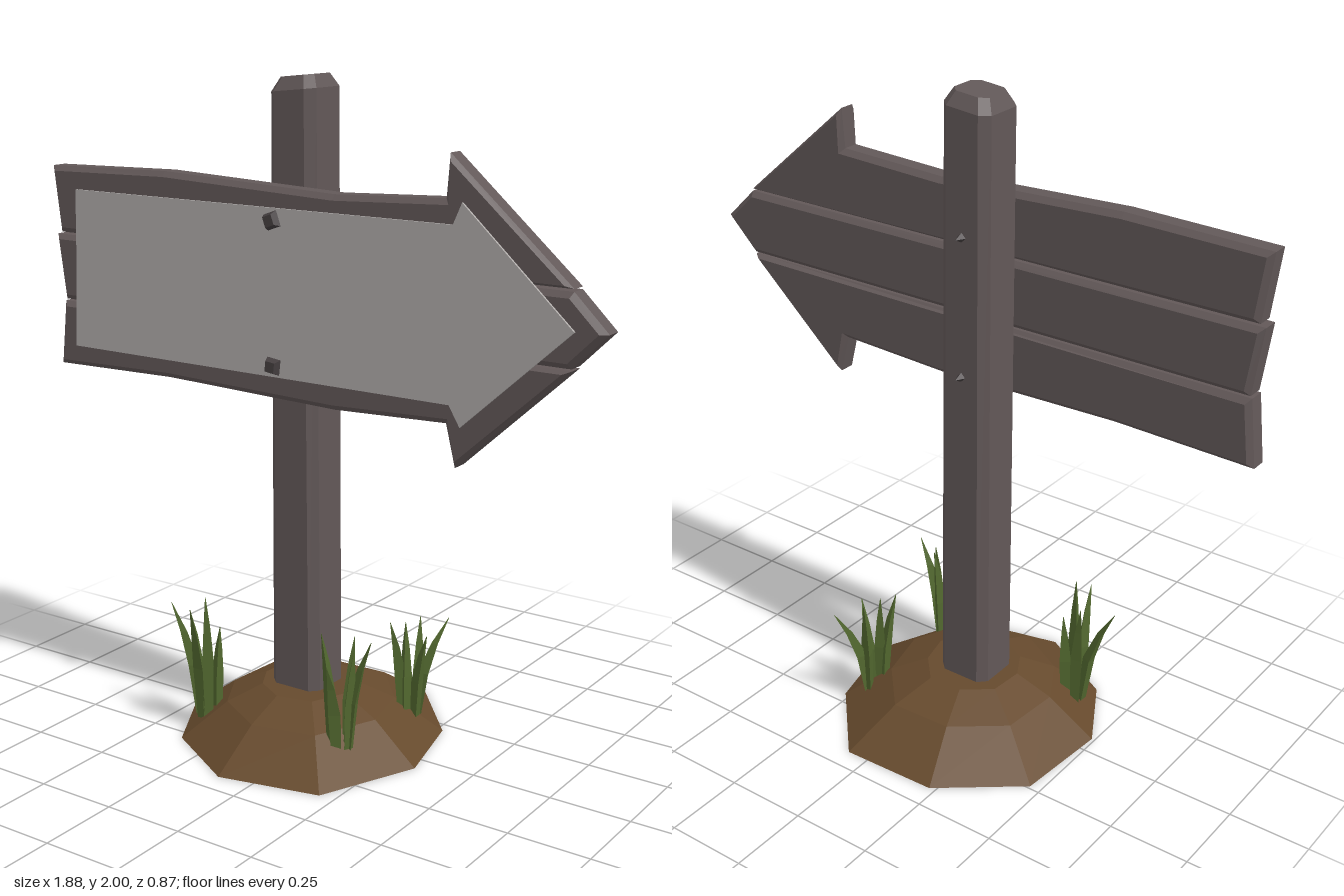
import * as THREE from 'three';

const mat = (name, color) => {
  const m = new THREE.MeshStandardMaterial({ color });
  m.name = name;
  return m;
};

// Flat-faced solid through equal rings of points, ordered clockwise seen from above
function loft(rings) {
  const pos = [];
  const tri = (...pts) => pts.forEach((p) => pos.push(p.x, p.y, p.z));
  const centre = (r) => r.reduce((s, p) => s.add(p), new THREE.Vector3()).divideScalar(r.length);
  const n = rings[0].length, last = rings[rings.length - 1];
  const c0 = centre(rings[0]), c1 = centre(last);
  for (let i = 0; i < n; i++) {
    const j = (i + 1) % n;
    for (let k = 0; k < rings.length - 1; k++) {
      const lo = rings[k], hi = rings[k + 1];
      tri(lo[j], lo[i], hi[i]);
      tri(lo[j], hi[i], hi[j]);
    }
    tri(rings[0][i], rings[0][j], c0);
    tri(last[j], last[i], c1);
  }
  const g = new THREE.BufferGeometry();
  g.setAttribute('position', new THREE.Float32BufferAttribute(pos, 3));
  g.computeVertexNormals();
  return g;
}

export function createModel() {
  const model = new THREE.Group();
  model.name = 'signpost';
  const wood = mat('weathered wood', 0x625858);
  const paint = mat('pale paint', 0xb0acaa);
  const iron = mat('dark iron', 0x453f40);
  const soil = mat('soil', 0x664a2d);
  const green = mat('grass green', 0x52682f);

  const add = (name, geometry, material, parent = model) => {
    const mesh = new THREE.Mesh(geometry, material);
    mesh.name = name;
    parent.add(mesh);
    return mesh;
  };
  const outline = (pts) => new THREE.Shape(pts.map(([x, y]) => new THREE.Vector2(x, y)));

  // Earth mound: one uneven outline shrunk towards the post
  const rim = [[-0.23, -0.425], [0.07, -0.435], [0.27, -0.21], [0.335, 0.06], [0.2, 0.36],
    [-0.11, 0.43], [-0.365, 0.285], [-0.49, 0.06], [-0.465, -0.24]];
  const moundRings = [[1, 0], [0.64, 0.108], [0.36, 0.158]].map(([s, y]) =>
    rim.map(([x, z]) => new THREE.Vector3(-0.09 + (x + 0.09) * s, y, z * s)));
  add('mound', loft(moundRings), soil);

  // Post: chamfered square, slightly tapered, with a bevelled and tilted top
  const postRing = (y, hx, hz, c, tilt = 0) => [
    [hx, -hz + c], [hx, hz - c], [hx - c, hz], [-hx + c, hz],
    [-hx, hz - c], [-hx, -hz + c], [-hx + c, -hz], [hx - c, -hz],
  ].map(([x, z]) => new THREE.Vector3(-0.098 + x, y + x * tilt, -0.008 + z));
  add('post', loft([
    postRing(0.08, 0.087, 0.083, 0.026),
    postRing(1.955, 0.078, 0.083, 0.026, 0.1),
    postRing(1.994, 0.058, 0.06, 0.022, 0.1),
  ]), wood);

  // Three planks that together form an arrow
  const planks = {
    topPlank: [[-0.92, 1.497], [0.835, 1.497], [0.465, 1.82], [0.455, 1.7], [0.1, 1.685],
      [-0.5, 1.71], [-0.945, 1.7]],
    middlePlank: [[-0.91, 1.288], [0.835, 1.288], [0.938, 1.39], [0.835, 1.49], [-0.937, 1.49]],
    bottomPlank: [[-0.938, 1.08], [-0.5, 1.09], [0.1, 1.075], [0.465, 1.09], [0.495, 0.968],
      [0.835, 1.282], [-0.915, 1.282]],
  };
  const bevel = 0.016;
  for (const [name, pts] of Object.entries(planks)) {
    const g = new THREE.ExtrudeGeometry(outline(pts), {
      depth: 0.08 - 2 * bevel, bevelEnabled: true, bevelThickness: bevel,
      bevelSize: bevel, bevelOffset: -bevel, bevelSegments: 1,
    });
    add(name, g, wood).position.z = 0.07 + bevel;
  }

  // Pale painted face of the sign
  const face = outline([[-0.858, 1.148], [0.485, 1.148], [0.52, 1.09], [0.85, 1.39],
    [0.515, 1.695], [0.488, 1.635], [-0.838, 1.635], [-0.845, 1.4]]);
  add('paintedFace', new THREE.ExtrudeGeometry(face, { depth: 0.007, bevelEnabled: false }), paint)
    .position.z = 0.15;

  // Nails: square heads in front, points sticking out behind the post
  [[1.6, 0.35], [1.18, -0.12]].forEach(([y, turn]) => {
    const nail = new THREE.Group();
    nail.name = 'nail';
    nail.position.set(-0.098, y, 0);
    model.add(nail);
    const head = new THREE.CylinderGeometry(0.022, 0.034, 0.022, 4).toNonIndexed();
    head.computeVertexNormals();
    head.rotateY(Math.PI / 4).rotateX(Math.PI / 2).rotateZ(turn);
    add('nailHead', head, iron, nail).position.z = 0.166;
    const tip = new THREE.ConeGeometry(0.015, 0.03, 4).toNonIndexed();
    tip.computeVertexNormals();
    add('nailTip', tip.rotateX(-Math.PI / 2), iron, nail).position.z = -0.104;
  });

  // Grass blade: three-sided, widest below the middle, bending out to its tip
  const blade = (base, tip, width, spin) => {
    const ring = (t, w) => {
      const c = new THREE.Vector3(
        base[0] + (tip[0] - base[0]) * t * t,
        base[1] + (tip[1] - base[1]) * t,
        base[2] + (tip[2] - base[2]) * t * t);
      return [0, 1, 2].map((i) => {
        const a = spin + (i * Math.PI * 2) / 3;
        return new THREE.Vector3(c.x + Math.cos(a) * w, c.y, c.z + Math.sin(a) * w);
      });
    };
    return loft([ring(0, width * 0.8), ring(0.45, width), ring(0.75, width * 0.6), ring(1, 0.001)]);
  };

  // Clumps: centre, then the offset and height of each blade tip
  const clumps = [
    [[-0.35, 0.04, 0.17], [[-0.13, 0.385, 0.01], [-0.045, 0.4, -0.05], [0, 0.41, 0.08],
      [0.03, 0.43, 0.04], [0.035, 0.33, -0.02]]],
    [[0.145, 0.05, 0.17], [[-0.03, 0.43, 0.055], [0.02, 0.4, -0.045], [0.055, 0.38, 0.01],
      [0.1, 0.41, -0.01], [0.01, 0.34, 0.085]]],
    [[0.175, 0.04, -0.17], [[-0.03, 0.365, 0.07], [0, 0.36, 0.03], [0.07, 0.345, -0.11],
      [0.01, 0.36, -0.04], [0.075, 0.33, 0.03]]],
  ];
  clumps.forEach(([c, tips], k) => {
    const clump = new THREE.Group();
    clump.name = 'grassClump';
    model.add(clump);
    tips.forEach(([dx, y, dz], i) => {
      const a = Math.atan2(dz, dx);
      const base = [c[0] + Math.cos(a) * 0.027, c[1], c[2] + Math.sin(a) * 0.027];
      add('grassBlade', blade(base, [c[0] + dx, y, c[2] + dz], 0.021, i * 1.3 + k), green, clump);
    });
  });

  return model;
}
